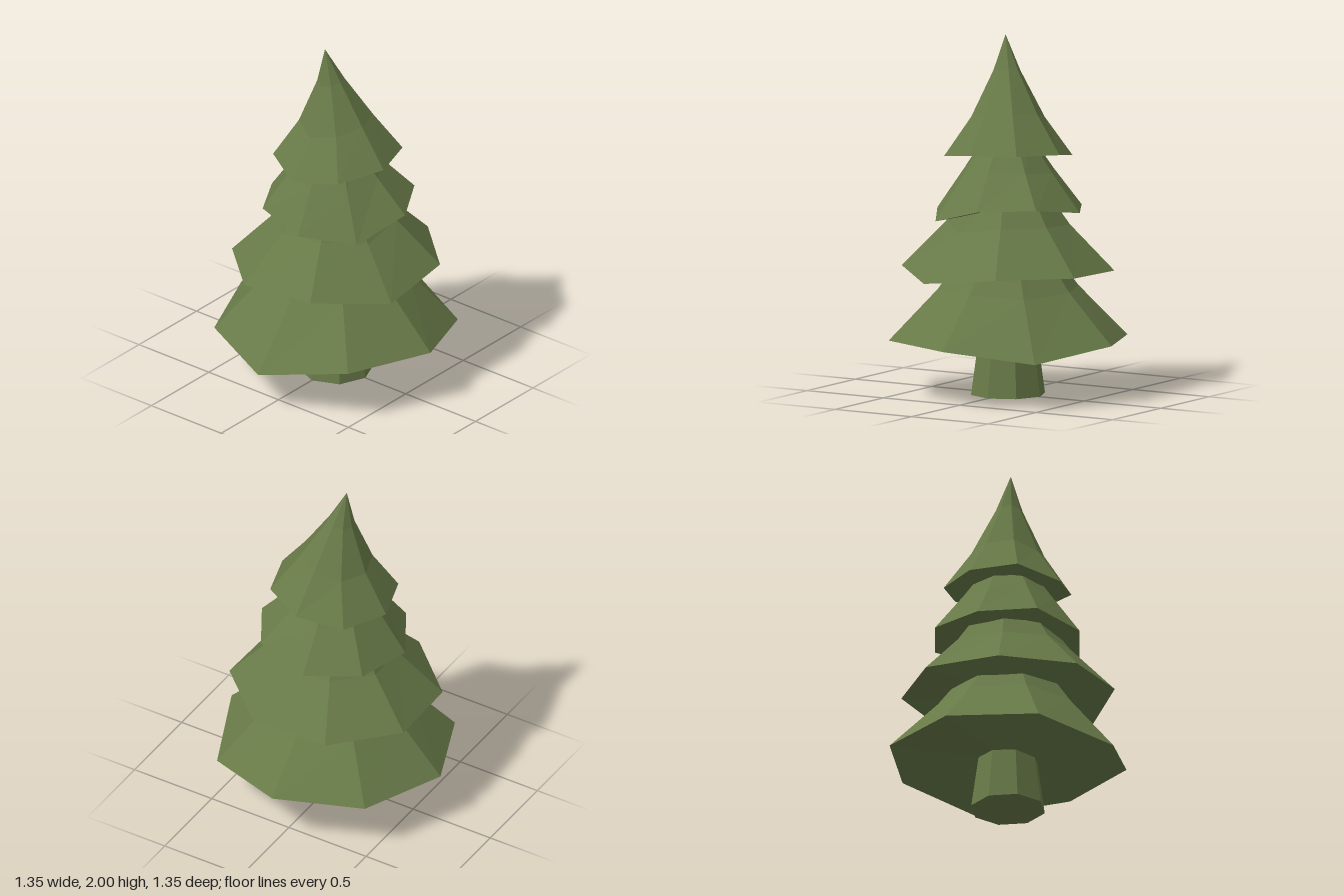
import * as THREE from 'three';

const SIDES = 8;
const material = new THREE.MeshStandardMaterial({ color: 0x687a48, flatShading: true });

// Closed faceted solid lofted through rings (lowest first), each ring an array of SIDES points
function loft(name, rings) {
  const positions = [];
  const add = (...points) => points.forEach((p) => positions.push(p.x, p.y, p.z));
  const centre = (ring) =>
    ring.reduce((sum, p) => sum.add(p), new THREE.Vector3()).divideScalar(SIDES);
  const bottom = rings[0], top = rings[rings.length - 1];
  const bottomCentre = centre(bottom), topCentre = centre(top);
  for (let i = 0; i < SIDES; i++) {
    const j = (i + 1) % SIDES;
    add(bottomCentre, bottom[i], bottom[j]);
    for (let k = 0; k < rings.length - 1; k++) {
      const low = rings[k], high = rings[k + 1];
      add(low[i], high[i], low[j]);
      add(low[j], high[i], high[j]);
    }
    add(topCentre, top[j], top[i]);
  }
  const geometry = new THREE.BufferGeometry();
  geometry.setAttribute('position', new THREE.Float32BufferAttribute(positions, 3));
  geometry.computeVertexNormals();
  const mesh = new THREE.Mesh(geometry, material);
  mesh.name = name;
  return mesh;
}

// One ring of points; yAt gives the height of each corner
function ring(radius, phase, yAt, cx = 0, cz = 0) {
  return Array.from({ length: SIDES }, (_, i) => {
    const a = THREE.MathUtils.degToRad(phase) + (i / SIDES) * Math.PI * 2;
    return new THREE.Vector3(cx + Math.cos(a) * radius, yAt(i), cz + Math.sin(a) * radius);
  });
}

// Branch tiers: uneven rim heights, then upper rings as [radius, y, share of rim unevenness, cx, cz]
const tiers = [
  {
    name: 'bottomBranches', radius: 0.677, phase: 0, centre: 0,
    rim: [0.32, 0.26, 0.32, 0.32, 0.23, 0.28, 0.30, 0.31],
    upper: [[0.4, 0.59, 0.3], [0.2, 0.86, 0]],
  },
  {
    name: 'lowerBranches', radius: 0.593, phase: 19.5, centre: 0,
    rim: [0.715, 0.72, 0.67, 0.71, 0.68, 0.665, 0.69, 0.70],
    upper: [[0.345, 0.95, 0.8], [0.17, 1.2, 0]],
  },
  {
    name: 'upperBranches', radius: 0.432, phase: -8, centre: 0.01,
    rim: [1.04, 1.085, 1.075, 0.99, 1.02, 1.05, 1.03, 1.04],
    upper: [[0.27, 1.25, 0.4], [0.12, 1.46, 0]],
  },
  {
    name: 'topBranches', radius: 0.358, phase: 5.5, centre: 0.007,
    rim: [1.37, 1.38, 1.375, 1.34, 1.30, 1.34, 1.33, 1.33],
    upper: [[0.205, 1.56, 0.9], [0.075, 1.81, 0.3, -0.02, -0.02], [0.001, 2, 0, -0.043, -0.043]],
  },
];

export function createModel() {
  const tree = new THREE.Group();
  tree.name = 'pineTree';

  // Tapered trunk
  tree.add(loft('trunk', [ring(0.21, 0, () => 0), ring(0.16, 0, () => 0.36)]));

  // Stacked skirts of foliage
  for (const { name, radius, phase, centre, rim, upper } of tiers) {
    const mean = rim.reduce((a, b) => a + b) / SIDES;
    const rings = [ring(radius, phase, (i) => rim[i], centre, centre)];
    for (const [r, y, share, cx, cz] of upper) {
      rings.push(ring(r, phase, (i) => y + (rim[i] - mean) * share, cx, cz));
    }
    tree.add(loft(name, rings));
  }
  return tree;
}
